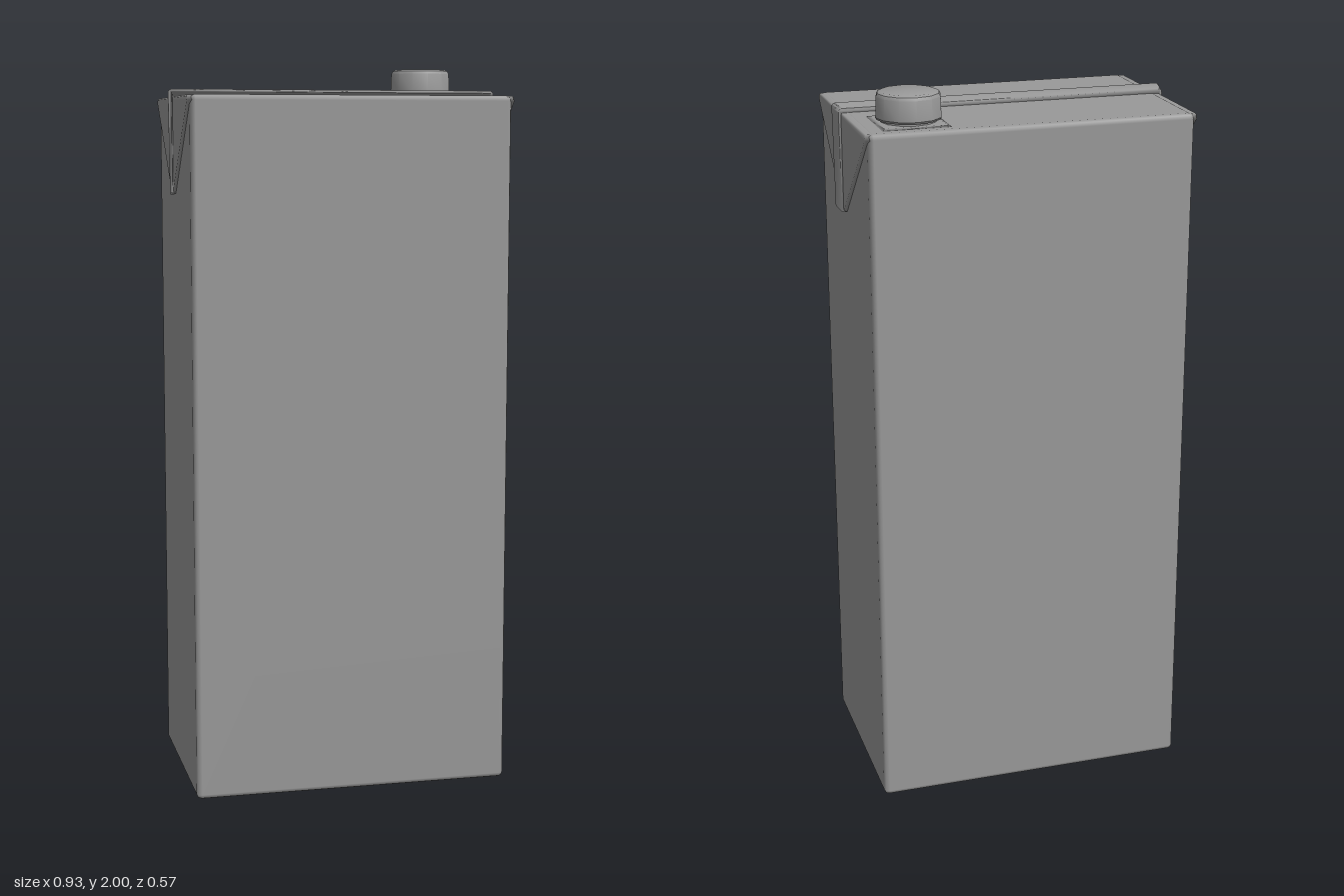
import * as THREE from 'three';
import { RoundedBoxGeometry } from 'three/addons/geometries/RoundedBoxGeometry.js';
import { mergeVertices, toCreasedNormals } from 'three/addons/utils/BufferGeometryUtils.js';

// Weld shared corners so shading runs softly over the bevels
function smooth(geometry) {
  geometry.deleteAttribute('normal');
  geometry.deleteAttribute('uv');
  const welded = mergeVertices(geometry, 1e-4);
  welded.computeVertexNormals();
  return welded;
}

export function createModel() {
  const group = new THREE.Group();
  const material = new THREE.MeshStandardMaterial({ color: 0x999999 });
  const add = (name, geometry, x = 0, y = 0, z = 0) => {
    const mesh = new THREE.Mesh(geometry, material);
    mesh.name = name;
    mesh.position.set(x, y, z);
    group.add(mesh);
    return mesh;
  };

  // Carton body with softly bevelled edges
  const height = 1.918;
  add('cartonBody', smooth(new RoundedBoxGeometry(0.882, height, 0.574, 1, 0.014)), 0, height / 2, 0);

  // Triangular ears folded down against both sides
  const ear = new THREE.Shape();
  ear.moveTo(-0.272, 1.915);
  ear.lineTo(-0.281, 1.903);
  ear.lineTo(-0.012, 1.655);
  ear.lineTo(0.012, 1.655);
  ear.lineTo(0.281, 1.903);
  ear.lineTo(0.272, 1.915);
  for (const side of [1, -1]) {
    const geo = new THREE.ExtrudeGeometry(ear, {
      depth: 0.018, bevelEnabled: true, bevelThickness: 0.004,
      bevelSize: 0.004, bevelOffset: -0.002, bevelSegments: 1,
    });
    const mesh = add(side > 0 ? 'leftEar' : 'rightEar', smooth(geo), side * 0.427);
    mesh.rotation.y = side * Math.PI / 2;
  }

  // Sealed seam over the top and down both sides: a thin flap whose front edge lifts off
  const top = 1.937, out = 0.464, r = 0.012, bottom = 1.657, inner = 0.454;
  const seam = new THREE.Shape();
  seam.moveTo(-out + 0.003, bottom);
  seam.lineTo(-out, top - r);
  seam.quadraticCurveTo(-out, top, -out + r, top);
  seam.lineTo(out - r, top);
  seam.quadraticCurveTo(out, top, out, top - r);
  seam.lineTo(out - 0.003, bottom);
  seam.lineTo(inner, bottom);
  seam.lineTo(inner, 1.93);
  seam.lineTo(-inner, 1.93);
  seam.lineTo(-inner, bottom);
  seam.closePath();
  const seamGeo = new THREE.ExtrudeGeometry(seam, { depth: 0.045, bevelEnabled: false, curveSegments: 4 });
  const p = seamGeo.attributes.position;
  for (let i = 0; i < p.count; i++) {
    if (p.getZ(i) > 0.01) continue;
    const x = p.getX(i), y = p.getY(i);
    const inside = Math.abs(Math.abs(x) - inner) < 0.001 && y < 1.931;
    p.setY(i, y - (inside && y > 1.9 ? 0.016 : 0.007));
    p.setX(i, x - Math.sign(x) * (inside ? 0.012 : 0.008));
  }
  add('foldedSeam', smooth(seamGeo), 0, 0, -0.005);

  // Thin square plate under the cap
  const capX = 0.305, capZ = -0.162;
  const plate = new THREE.CylinderGeometry(0.115, 0.136, 0.006, 4).rotateY(Math.PI / 4);
  add('capPlate', smooth(plate), capX, 1.919, capZ);

  // Pouring neck and twelve-sided screw cap
  add('neck', new THREE.CylinderGeometry(0.074, 0.074, 0.03, 12), capX, 1.924, capZ);
  const profile = [[0, 1.928], [0.084, 1.928], [0.088, 1.934], [0.086, 1.988], [0.082, 1.996], [0.074, 2], [0, 2]]
    .map(([x, y]) => new THREE.Vector2(x, y));
  add('screwCap', toCreasedNormals(new THREE.LatheGeometry(profile, 12), 0.6), capX, 0, capZ);

  return group;
}
